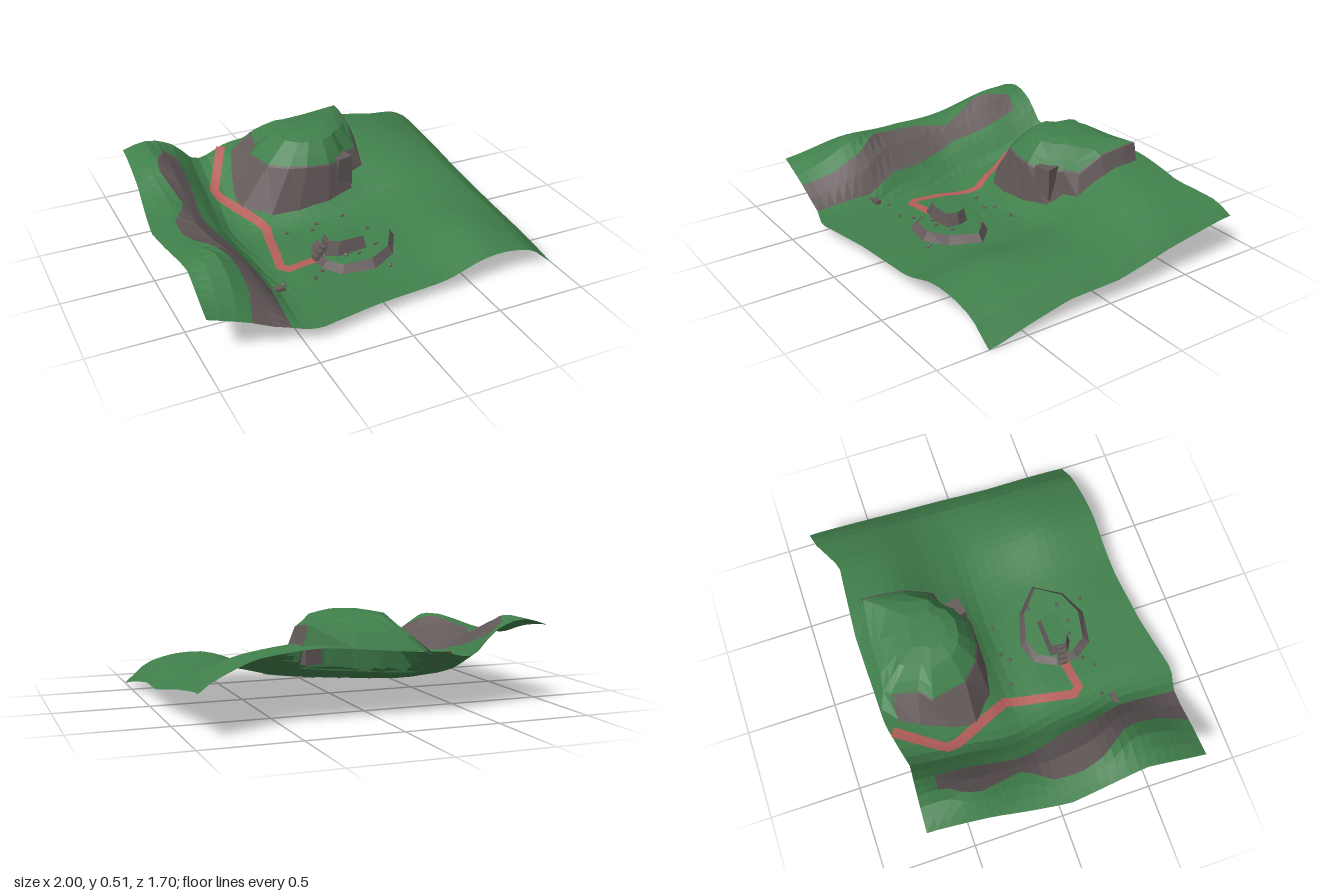
import * as THREE from 'three';

const mat = (name, color) => new THREE.MeshStandardMaterial({ name, color, flatShading: true, side: THREE.DoubleSide });
const grass = mat('grass', 0x41804c);
const rock = mat('rock', 0x645a5a);
const clay = mat('red path', 0xb45f5a);
const MATS = [grass, rock, clay];
const GRASS = 0, ROCK = 1, PATH = 2;

const lerp = THREE.MathUtils.lerp;
const V = (x, y, z) => new THREE.Vector3(x, y, z);

// Piecewise linear curve through [position, value] pairs
function curve(pts, t) {
  if (t <= pts[0][0]) return pts[0][1];
  for (let i = 1; i < pts.length; i++) {
    const [a, va] = pts[i - 1], [b, vb] = pts[i];
    if (t <= b) return lerp(va, vb, (t - a) / (b - a));
  }
  return pts[pts.length - 1][1];
}

// Coarse ground heights, smoothed between the knots
const KX = [-1, -0.8, -0.65, -0.5, -0.3, 0, 0.3, 0.6, 0.85, 1];
const KZ = [-0.8, -0.5, -0.2, -0.05, 0.15, 0.45, 0.8];
const HEIGHTS = [
  [0.42, 0.46, 0.45, 0.33, 0.34, 0.36, 0.38, 0.35, 0.28, 0.19],
  [0.37, 0.46, 0.34, 0.19, 0.25, 0.32, 0.37, 0.34, 0.26, 0.15],
  [0.32, 0.35, 0.24, 0.11, 0.14, 0.20, 0.20, 0.23, 0.20, 0.11],
  [0.31, 0.32, 0.21, 0.085, 0.075, 0.10, 0.13, 0.19, 0.18, 0.09],
  [0.31, 0.33, 0.23, 0.09, 0.085, 0.085, 0.11, 0.185, 0.17, 0.075],
  [0.32, 0.365, 0.26, 0.09, 0.08, 0.08, 0.11, 0.20, 0.15, 0.045],
  [0.27, 0.20, 0.13, 0.085, 0.08, 0.08, 0.08, 0.15, 0.11, -0.01],
];
function smooth(knots, values, t) {
  const n = knots.length;
  let i = 0;
  while (i < n - 2 && t > knots[i + 1]) i++;
  const h = knots[i + 1] - knots[i];
  const f = THREE.MathUtils.clamp((t - knots[i]) / h, 0, 1), f2 = f * f, f3 = f2 * f;
  const slope = k => {
    const lo = Math.max(0, k - 1), hi = Math.min(n - 1, k + 1);
    return 0.85 * h * (values[hi] - values[lo]) / (knots[hi] - knots[lo]);
  };
  return (2 * f3 - 3 * f2 + 1) * values[i] + (f3 - 2 * f2 + f) * slope(i)
    + (3 * f2 - 2 * f3) * values[i + 1] + (f3 - f2) * slope(i + 1);
}
const ground = (x, z) => smooth(KZ, HEIGHTS.map(row => smooth(KX, row, x)), z);

// Skin over rows of points; pick(i, j, centre) gives the colour index or -1 for a hole
function sheet(name, rows, closed, pick) {
  const n = rows[0].length, faces = MATS.map(() => []);
  for (let i = 0; i < rows.length - 1; i++) {
    for (let j = 0; j < (closed ? n : n - 1); j++) {
      const k = (j + 1) % n;
      const a = i * n + j, b = (i + 1) * n + j, c = (i + 1) * n + k, d = i * n + k;
      const centre = rows[i][j].clone().add(rows[i + 1][k]).multiplyScalar(0.5);
      const m = pick(i, j, centre);
      if (m >= 0) faces[m].push(a, b, c, a, c, d);
    }
  }
  const indexed = new THREE.BufferGeometry().setFromPoints(rows.flat());
  indexed.setIndex(faces.flat());
  const geo = indexed.toNonIndexed();
  let start = 0;
  faces.forEach((f, m) => {
    if (f.length) geo.addGroup(start, f.length, m);
    start += f.length;
  });
  geo.computeVertexNormals();
  const mesh = new THREE.Mesh(geo, MATS);
  mesh.name = name;
  return mesh;
}

// Hill outline: foot x, z, then cliff top x, z, y
const HILL = [
  [-0.22, -0.755, -0.14, -0.715, 0.40], [-0.30, -0.68, -0.17, -0.68, 0.41], [-0.335, -0.58, -0.19, -0.54, 0.40],
  [-0.38, -0.42, -0.26, -0.48, 0.37], [-0.39, -0.29, -0.22, -0.29, 0.38], [-0.25, -0.17, -0.13, -0.20, 0.39],
  [-0.10, -0.14, -0.04, -0.17, 0.39], [0.08, -0.14, 0.09, -0.16, 0.38], [0.24, -0.18, 0.20, -0.21, 0.36],
  [0.27, -0.27, 0.25, -0.28, 0.37], [0.36, -0.29, 0.33, -0.32, 0.37], [0.39, -0.45, 0.35, -0.45, 0.45],
  [0.39, -0.58, 0.36, -0.60, 0.475], [0.385, -0.67, 0.36, -0.67, 0.48], [0.15, -0.76, 0.12, -0.70, 0.44],
  [-0.05, -0.755, -0.05, -0.70, 0.43],
].reverse();
const HILL_MID = [0.09, -0.38];

function insideHill(x, z) {
  const p = HILL.map(h => [lerp(h[0], HILL_MID[0], 0.09), lerp(h[1], HILL_MID[1], 0.09)]);
  let inside = false;
  p.forEach(([ax, az], i) => {
    const [bx, bz] = p[(i + 1) % p.length];
    if ((az > z) !== (bz > z) && x < ax + (bx - ax) * (z - az) / (bz - az)) inside = !inside;
  });
  return inside;
}

// Ground sheet with wavy borders; grid columns follow the rock band on the right-hand ridge
function makeGround() {
  const left = [[-0.72, -0.93], [-0.4, -0.95], [0, -1], [0.45, -0.955], [0.8, -0.98]];
  const right = [[-0.8, 0.95], [-0.3, 0.965], [0, 0.98], [0.3, 0.97], [0.72, 1]];
  const back = [[-0.93, -0.72], [-0.55, -0.7], [-0.3, -0.76], [0.2, -0.77], [0.65, -0.74], [0.85, -0.83], [0.95, -0.85]];
  const front = [[-0.98, 0.8], [-0.57, 0.81], [-0.43, 0.85], [-0.1, 0.79], [0.2, 0.76], [0.6, 0.75], [1, 0.72]];
  const bandL = [[-0.62, -0.74], [-0.55, -0.79], [-0.45, -0.82], [-0.2, -0.76], [-0.05, -0.86], [0.1, -0.87], [0.25, -0.83], [0.42, -0.71], [0.6, -0.7], [0.8, -0.76]];
  const bandR = [[-0.62, -0.65], [-0.45, -0.65], [-0.2, -0.68], [-0.05, -0.65], [0.1, -0.61], [0.25, -0.6], [0.45, -0.54], [0.8, -0.56]];
  const rows = [], NZ = 28;
  for (let i = 0; i <= NZ; i++) {
    const v = i / NZ, z0 = lerp(-0.77, 0.79, v), row = [];
    const stops = [left, bandL, bandR, right].map(c => curve(c, z0));
    [3, 2, 30].forEach((count, s) => {
      for (let k = s ? 1 : 0; k <= count; k++) {
        const x = lerp(stops[s], stops[s + 1], k / count);
        const z = lerp(curve(back, x), curve(front, x), v);
        row.push(V(x, ground(x, z), z));
      }
    });
    rows.push(row);
  }
  return sheet('ground', rows, false, (i, j, c) =>
    insideHill(c.x, c.z) ? -1 : j >= 3 && j < 5 && c.z > -0.61 ? ROCK : GRASS);
}

// Grassy hill with a rounded crown, and a thin rock facing round its left, front and right
function makeHill() {
  const foot = t => HILL.map(h => V(lerp(h[0], HILL_MID[0], t), ground(h[0], h[1]) - 0.005, lerp(h[1], HILL_MID[1], t)));
  const crown = (t, y) => HILL.map(h => V(lerp(h[2], HILL_MID[0], t), lerp(h[4], y, Math.min(1, t * 2.6)), lerp(h[3], HILL_MID[1], t)));
  const hill = new THREE.Group();
  hill.name = 'hill';
  hill.add(sheet('hillGrass', [foot(0), crown(0, 0.51), crown(0.14, 0.51), crown(0.37, 0.5), crown(0.65, 0.512), crown(1, 0.515)], true, () => GRASS));
  hill.add(sheet('cliff', [foot(-0.02), crown(-0.025, 0.51), crown(0.01, 0.51)], true, (i, j) => (j > 1 && j < 14 ? ROCK : -1)));
  return hill;
}

// Flat-topped mound: rock sides, grass top
function makeMound(name, outline, [cx, cz], inset, foot, top) {
  const ring = (t, y) => outline.map(([x, z]) => V(lerp(x, cx, t), y(x), lerp(z, cz, t)));
  const rows = [ring(0, () => foot), ring(inset, top), ring(1, () => top(cx))];
  return sheet(name, rows, true, i => (i ? GRASS : ROCK));
}

// Path ribbon laid on the ground
function makePath() {
  const pts = [[-0.345, -0.735], [-0.485, -0.48], [-0.475, -0.42], [-0.32, -0.1], [-0.395, 0.28], [-0.36, 0.32], [-0.19, 0.29]].map(([x, z]) => V(x, 0, z));
  const sides = pts.map((p, i) => {
    const d0 = p.clone().sub(pts[Math.max(0, i - 1)]).normalize();
    const d1 = pts[Math.min(pts.length - 1, i + 1)].clone().sub(p).normalize();
    const d = d0.add(d1).normalize();
    return V(-d.z, 0, d.x).multiplyScalar(0.027);
  });
  const rows = [], N = 10;
  for (let i = 0; i < pts.length - 1; i++) {
    for (let k = i ? 1 : 0; k <= N; k++) {
      const p = pts[i].clone().lerp(pts[i + 1], k / N), s = sides[i].clone().lerp(sides[i + 1], k / N);
      rows.push([1, 0, -1].map(f => {
        const q = p.clone().addScaledVector(s, f);
        return q.setY(ground(q.x, q.z) + 0.008);
      }));
    }
  }
  return sheet('path', rows, false, () => PATH);
}

function block(name, w, h, d, x, y, z, turn = 0) {
  const mesh = new THREE.Mesh(new THREE.BoxGeometry(w, h, d), rock);
  mesh.name = name;
  mesh.position.set(x, y, z);
  mesh.rotation.y = turn;
  return mesh;
}

export function createModel() {
  const model = new THREE.Group();
  model.name = 'landscape';
  model.add(makeGround(), makeHill(), makePath());

  // Two-tier mound on the valley floor
  model.add(makeMound('lowerMound', [[-0.21, 0.25], [-0.15, 0.13], [-0.03, 0.09], [0.15, 0.14], [0.3, 0.27],
    [0.2, 0.43], [0.05, 0.5], [-0.13, 0.47], [-0.2, 0.37]], [0.03, 0.3], 0.18, 0.08, x => 0.125 + 0.08 * x));
  model.add(makeMound('upperMound', [[-0.16, 0.33], [-0.15, 0.23], [0.06, 0.22], [0.09, 0.29], [0.07, 0.36],
    [-0.1, 0.36]], [-0.02, 0.29], 0.2, 0.12, () => 0.2));

  // Steps, cliff pillar and ledge
  for (let i = 0; i < 4; i++) model.add(block('step', 0.025, 0.03, 0.045, -0.2 + i * 0.022, 0.1 + i * 0.024, 0.29));
  model.add(block('cliffPillar', 0.1, 0.18, 0.08, 0.19, 0.3, -0.21, 0.25));
  model.add(block('ledge', 0.08, 0.02, 0.03, -0.5, 0.1, 0.485, 0.1));

  // Loose stones
  [[-0.23, -0.03], [-0.05, -0.03], [0.11, -0.03], [-0.09, 0.01], [-0.44, 0.43], [-0.27, 0.45], [-0.21, 0.4],
    [0.13, 0.51], [0.12, 0.36], [0.01, 0.39], [-0.06, 0.37], [0.15, 0.2]].forEach(([x, z], i) => {
    const stone = new THREE.Mesh(new THREE.DodecahedronGeometry(0.011), rock);
    stone.name = 'stone';
    const onMound = Math.hypot((x - 0.03) / 0.2, (z - 0.3) / 0.17) < 1;
    stone.position.set(x, (onMound ? 0.125 + 0.08 * x : ground(x, z)) + 0.006, z);
    stone.rotation.set(i, i * 2, 0);
    stone.scale.set(1.2, 0.8, 1);
    model.add(stone);
  });
  return model;
}
